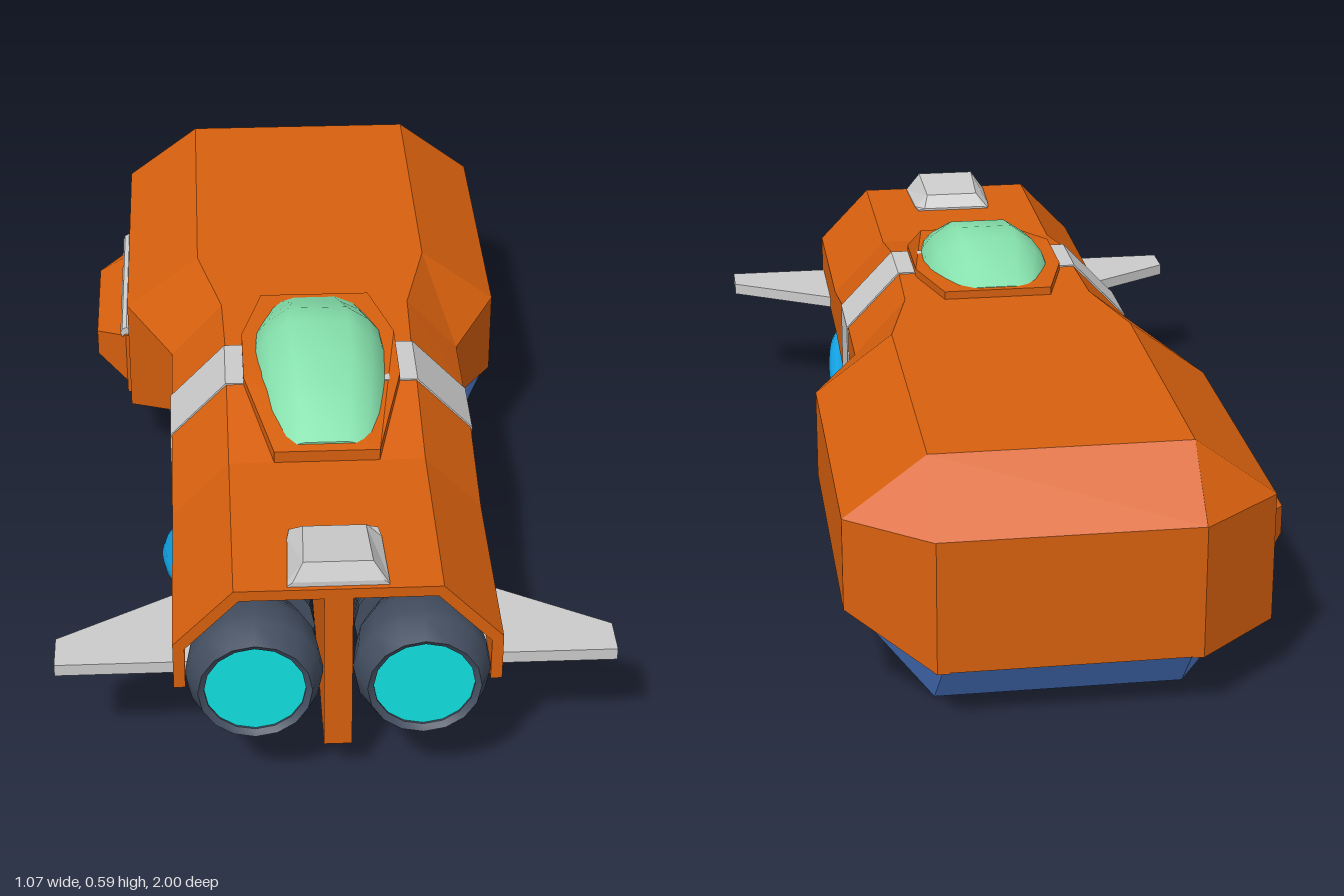
import * as THREE from 'three';
import { toCreasedNormals } from 'three/addons/utils/BufferGeometryUtils.js';

const mat = (color, flatShading = false) => new THREE.MeshStandardMaterial({ color, flatShading, side: THREE.DoubleSide });
const orange = mat(0xd8600e, true), blue = mat(0x5384dc, true), grey = mat(0xcccccc, true);
const green = mat(0x85e0ac), cyan = mat(0x10e0e0), dark = mat(0x434e60), cableBlue = mat(0x109fe0);

// Mirror a right half profile (bottom to top) into a closed counter-clockwise outline
const mirror = (half) => [...half, ...half.map(([x, y]) => [-x, y]).reverse()];

// Skin through outlines ordered from high z to low z, with both ends capped
function loft(sections) {
  const pos = [];
  const put = (s, i) => pos.push(s.pts[i][0], s.pts[i][1], s.z);
  for (let k = 0; k + 1 < sections.length; k++) {
    const a = sections[k], b = sections[k + 1], n = a.pts.length;
    for (let i = 0; i < n; i++) {
      const j = (i + 1) % n;
      put(a, i); put(b, i); put(b, j);
      put(a, i); put(b, j); put(a, j);
    }
  }
  const cap = (s, order) => {
    const outline = s.pts.map(([x, y]) => new THREE.Vector2(x, y));
    for (const tri of THREE.ShapeUtils.triangulateShape(outline, [])) order.forEach((o) => put(s, tri[o]));
  };
  cap(sections[0], [0, 1, 2]);
  cap(sections[sections.length - 1], [2, 1, 0]);
  const geo = new THREE.BufferGeometry();
  geo.setAttribute('position', new THREE.Float32BufferAttribute(pos, 3));
  geo.computeVertexNormals();
  return geo;
}

// Flat plate: outline in (x, z), thickness upward from y
function plate(points, y, thickness) {
  const shape = new THREE.Shape(points.map(([x, z]) => new THREE.Vector2(x, -z)));
  return new THREE.ExtrudeGeometry(shape, { depth: thickness, bevelEnabled: false }).rotateX(-Math.PI / 2).translate(0, y, 0);
}

export function createModel() {
  const model = new THREE.Group();
  const add = (name, geo, material, parent = model) => {
    const mesh = new THREE.Mesh(geo, material);
    mesh.name = name;
    parent.add(mesh);
    return mesh;
  };

  // Arched upper hull: z, side x, bottom y (left, right), side top y, shoulder x, roof y
  const hullRows = [
    [0.94, 0.31, 0.24, 0.24, 0.34, 0.195, 0.46],
    [0.52, 0.31, 0.24, 0.24, 0.34, 0.195, 0.46],
    [0.30, 0.31, 0.22, 0.22, 0.385, 0.195, 0.505],
    [0.15, 0.31, 0.255, 0.255, 0.385, 0.195, 0.505],
    [-0.02, 0.31, 0.255, 0.24, 0.385, 0.2, 0.505],
    [-0.23, 0.41, 0.2, 0.125, 0.385, 0.25, 0.505],
    [-0.87, 0.41, 0.2, 0.125, 0.385, 0.25, 0.505],
    [-1.0, 0.25, 0.12, 0.12, 0.385, 0.249, 0.386],
  ];
  add('upperHull', loft(hullRows.map(([z, w, yl, yr, ys, sx, top]) => {
    const t = 0.022, nose = z === -1;
    const sideY = nose ? 0.121 : ys - 0.01, roofY = nose ? 0.122 : top - t;
    return { z, pts: [
      [w, yl], [w, ys], [sx, top], [-sx, top], [-w, ys], [-w, yr],
      [-w + t, yr], [-w + t, sideY], [-sx + 0.01, roofY], [sx - 0.01, roofY], [w - t, sideY], [w - t, yl],
    ] };
  })), orange);

  // Lower hull with the bulkhead behind the engines
  const bellyRows = [
    [0.30, [[0.27, 0.225], [0.3, 0.24], [0.295, 0.36], [0.19, 0.485]]],
    [0.15, [[0.18, 0.09], [0.305, 0.256], [0.295, 0.36], [0.19, 0.485]]],
    [-0.01, [[0.24, 0], [0.305, 0.256], [0.295, 0.36], [0.19, 0.485]]],
    [-0.22, [[0.24, 0], [0.395, 0.202], [0.385, 0.36], [0.24, 0.485]]],
    [-0.86, [[0.24, 0], [0.395, 0.202], [0.385, 0.36], [0.24, 0.485]]],
    [-0.98, [[0.235, 0.122], [0.24, 0.13], [0.235, 0.25], [0.22, 0.37]]],
  ];
  add('lowerHull', loft(bellyRows.map(([z, half]) => ({ z, pts: mirror(half) }))), blue);

  // Keel between the engines
  add('keel', new THREE.BoxGeometry(0.054, 0.355, 0.79).translate(0, 0.268, 0.545), orange);

  // Band wrapped over the neck
  const bandArch = mirror([[0.305, 0.2], [0.313, 0.2], [0.313, 0.386], [0.197, 0.508]]);
  const bandInner = [[-0.19, 0.49], [-0.3, 0.38], [-0.305, 0.2]];
  const bandPts = [...bandArch.slice(1, 7), ...bandInner.slice().reverse(), ...bandInner.map(([x, y]) => [-x, y])];
  add('neckBand', loft([0.3, 0.15].map((z) => ({ z, pts: bandPts }))), grey);

  // Canopy frame, bent down where the roof starts to slope
  const rim = [[0.115, -0.03], [0.16, 0.13], [0.16, 0.3], [0.105, 0.52], [-0.105, 0.52], [-0.16, 0.3], [-0.16, 0.13], [-0.115, -0.03]];
  const rimGeo = plate(rim, 0.48, 0.042);
  const rp = rimGeo.attributes.position;
  for (let i = 0; i < rp.count; i++) rp.setY(i, rp.getY(i) - Math.max(0, rp.getZ(i) - 0.3) * 0.17);
  rimGeo.computeVertexNormals();
  add('canopyFrame', rimGeo, orange);

  // Canopy glass: z, half width, base y, top y
  const glassRows = [
    [0.5, 0.098, 0.47, 0.492], [0.4, 0.12, 0.48, 0.54], [0.3, 0.135, 0.49, 0.573], [0.2, 0.14, 0.5, 0.591],
    [0.13, 0.137, 0.5, 0.583], [0.06, 0.117, 0.5, 0.555], [-0.015, 0.098, 0.5, 0.523],
  ];
  add('canopyGlass', toCreasedNormals(loft(glassRows.map(([z, w, y, top]) => ({
    z, pts: mirror([[w, y], [0.93 * w, y + 0.3 * (top - y)], [0.77 * w, y + 0.63 * (top - y)], [0.44 * w, top]]),
  }))), 0.7), green);

  // Intake on the nose roof
  add('roofIntake', loft([
    [0.93, 0.095, 0.085, 0.47], [0.915, 0.095, 0.065, 0.505], [0.78, 0.09, 0.06, 0.49], [0.75, 0.085, 0.07, 0.465],
  ].map(([z, w, t, y]) => ({ z, pts: mirror([[w, 0.452], [w, 0.462], [t, y]]) }))), grey);

  // Engine, wing and cables on each side
  const engineProfile = [
    [0, 0.47], [0.06, 0.485], [0.1, 0.52], [0.122, 0.58], [0.122, 0.62], [0.105, 0.67], [0.075, 0.705],
    [0.075, 0.8], [0.1, 0.82], [0.122, 0.87], [0.13, 0.93], [0.128, 0.95], [0.107, 1.0], [0.095, 0.992], [0.095, 0.97], [0, 0.97],
  ].map(([r, z]) => new THREE.Vector2(r, z));
  for (const s of [1, -1]) {
    const label = s > 0 ? 'left' : 'right';
    const engine = new THREE.Group();
    engine.name = label + 'Engine';
    engine.position.set(s * 0.158, 0.272, 0);
    model.add(engine);
    add('engineBody', toCreasedNormals(new THREE.LatheGeometry(engineProfile, 16).rotateX(Math.PI / 2), 0.65), dark, engine);
    add('engineLens', new THREE.CircleGeometry(0.095, 16).translate(0, 0, 0.988), cyan, engine);
    for (let i = 0; i < 4; i++) {
      add('coolingRing', new THREE.CylinderGeometry(0.12, 0.12, 0.013, 16).rotateX(Math.PI / 2).translate(0, 0, 0.725 + i * 0.024), dark, engine);
    }

    add(label + 'Wing', plate([[s * 0.2, 0.63], [s * 0.31, 0.69], [s * 0.535, 0.82], [s * 0.535, 0.9], [s * 0.2, 0.9]], 0.244, 0.025), grey);

    const cables = [
      [[0.2, 0.22, 0.62], [0.28, 0.22, 0.57], [0.31, 0.18, 0.45], [0.3, 0.14, 0.32], [0.26, 0.125, 0.26], [0.19, 0.14, 0.22]],
      [[0.18, 0.19, 0.6], [0.24, 0.18, 0.55], [0.27, 0.13, 0.44], [0.27, 0.095, 0.33], [0.23, 0.09, 0.26], [0.16, 0.12, 0.2]],
    ];
    for (const pts of cables) {
      const curve = new THREE.CatmullRomCurve3(pts.map(([x, y, z]) => new THREE.Vector3(s * x, y, z)));
      add(label + 'Cable', new THREE.TubeGeometry(curve, 28, 0.024, 10), cableBlue);
    }
  }

  // Bevelled side pod with a rail along its top, on the right flank only
  const pod = new THREE.Group();
  pod.name = 'sidePod';
  model.add(pod);
  add('podBody', loft([
    [-0.26, 0.412, 0.17, 0.26], [-0.35, 0.48, 0.19, 0.25], [-0.63, 0.48, 0.19, 0.25], [-0.71, 0.412, 0.17, 0.26],
  ].map(([z, x, lo, hi]) => ({ z, pts: [[-0.4, 0.135], [-0.4, 0.29], [-0.418, 0.29], [-x - 0.006, hi], [-x - 0.006, lo], [-0.418, 0.14]] }))), orange, pod);
  add('podRail', new THREE.CylinderGeometry(0.014, 0.014, 0.44, 8).rotateX(Math.PI / 2).translate(-0.416, 0.293, -0.487), grey, pod);

  return model;
}
